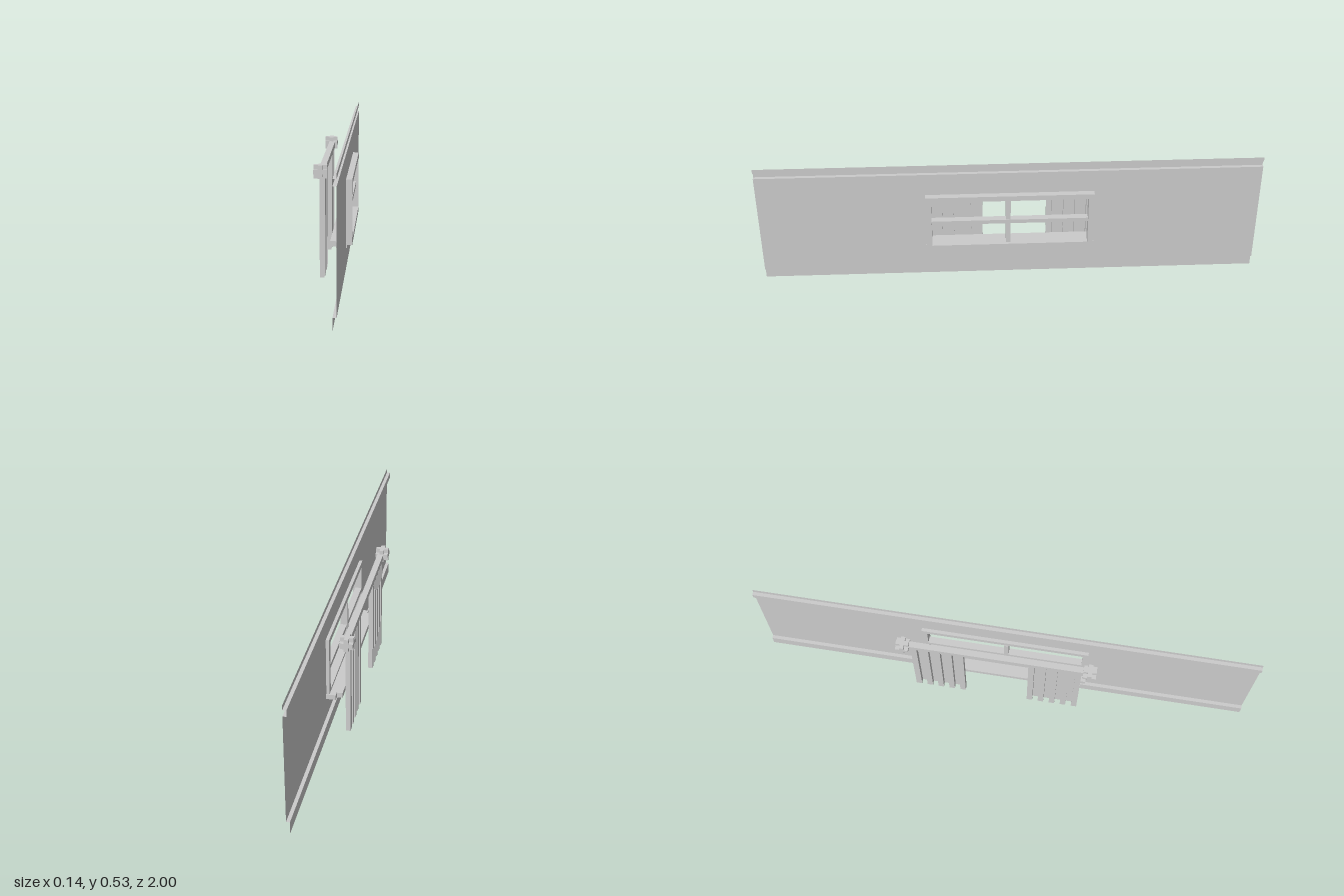
import * as THREE from 'three';

const solid = new THREE.MeshStandardMaterial({ color: 0xcccccc, flatShading: true });
const sheet = new THREE.MeshStandardMaterial({ color: 0xcccccc, flatShading: true, side: THREE.DoubleSide });

// Box given by its limits on each axis
function box(parent, name, [x0, x1], [y0, y1], [z0, z1]) {
  const mesh = new THREE.Mesh(new THREE.BoxGeometry(x1 - x0, y1 - y0, z1 - z0), solid);
  mesh.position.set((x0 + x1) / 2, (y0 + y1) / 2, (z0 + z1) / 2);
  mesh.name = name;
  parent.add(mesh);
}

function rect(target, z0, z1, y0, y1) {
  target.moveTo(z0, y0);
  target.lineTo(z1, y0);
  target.lineTo(z1, y1);
  target.lineTo(z0, y1);
  target.closePath();
  return target;
}

// Open sheet: a polyline of [a, b] points swept between two values of the third axis
function sweep(parent, name, points, from, to, place) {
  const pos = [];
  for (let i = 0; i < points.length - 1; i++) {
    const p = points[i], q = points[i + 1];
    const [a, b, c, d] = [place(p, from), place(q, from), place(q, to), place(p, to)];
    pos.push(...a, ...b, ...c, ...a, ...c, ...d);
  }
  const geo = new THREE.BufferGeometry();
  geo.setAttribute('position', new THREE.Float32BufferAttribute(pos, 3));
  geo.computeVertexNormals();
  const mesh = new THREE.Mesh(geo, sheet);
  mesh.name = name;
  parent.add(mesh);
}

export function createModel() {
  const model = new THREE.Group();
  model.name = 'wallWithWindow';

  // Wall panel with the window opening
  const front = 0.048, back = 0.034;
  const shape = rect(new THREE.Shape(), -1, 1, 0.048, 0.49);
  shape.holes.push(rect(new THREE.Path(), -0.32, 0.32, 0.155, 0.38));
  const panel = new THREE.Mesh(new THREE.ShapeGeometry(shape).rotateY(Math.PI / 2), sheet);
  panel.position.x = front;
  panel.name = 'wallPanel';
  model.add(panel);

  // Baseboard and cornice folded out of the wall sheet
  const alongZ = ([x, y], z) => [x, y, z];
  sweep(model, 'baseboard', [[back, 0], [back, 0.048], [front, 0.048]], -1, 1, alongZ);
  sweep(model, 'cornice',
    [[front, 0.49], [back, 0.49], [back, 0.515], [front, 0.515], [front, 0.533]], -1, 1, alongZ);

  // Window frame
  const frameShape = rect(new THREE.Shape(), -0.335, 0.335, 0.142, 0.395);
  frameShape.holes.push(rect(new THREE.Path(), -0.313, 0.313, 0.163, 0.373));
  const frame = new THREE.Mesh(
    new THREE.ExtrudeGeometry(frameShape, { depth: 0.037, bevelEnabled: false }).rotateY(Math.PI / 2), solid);
  frame.position.x = 0.035;
  frame.name = 'windowFrame';
  model.add(frame);

  // Glazing bars
  box(model, 'mullion', [0.032, 0.06], [0.163, 0.373], [-0.003, 0.016]);
  box(model, 'crossRail', [0.035, 0.062], [0.258, 0.275], [-0.313, 0.313]);

  // Stepped inner sill
  box(model, 'sill', [0.01, 0.052], [0.132, 0.153], [-0.34, 0.34]);
  box(model, 'sillNose', [-0.013, 0.01], [0.132, 0.153], [-0.32, 0.32]);

  // Curtain rod with a finial of three crossed slabs at each end
  box(model, 'curtainRod', [-0.055, -0.031], [0.413, 0.437], [-0.37, 0.33]);
  for (const z of [-0.393, 0.35]) {
    const finial = new THREE.Group();
    finial.name = 'finial';
    finial.position.set(-0.0475, 0.4285, z);
    const w = [-0.0255, 0.0255], t = [-0.0085, 0.0085];
    box(finial, 'finialSlabX', t, w, w);
    box(finial, 'finialSlabY', w, t, w);
    box(finial, 'finialSlabZ', w, w, t);
    model.add(finial);
  }

  // Pleated curtains: square-wave sheets
  const pleats = 9, step = 0.0234;
  for (const start of [-0.362, 0.108]) {
    const wave = [[-0.034, start]];
    for (let i = 0; i < pleats; i++) {
      const x = i % 2 ? -0.034 : -0.053;
      wave.push([x, start + i * step], [x, start + (i + 1) * step]);
    }
    wave.push([-0.034, start + pleats * step]);
    sweep(model, 'curtain', wave, 0.01, 0.413, ([x, z], y) => [x, y, z]);
  }

  return model;
}
